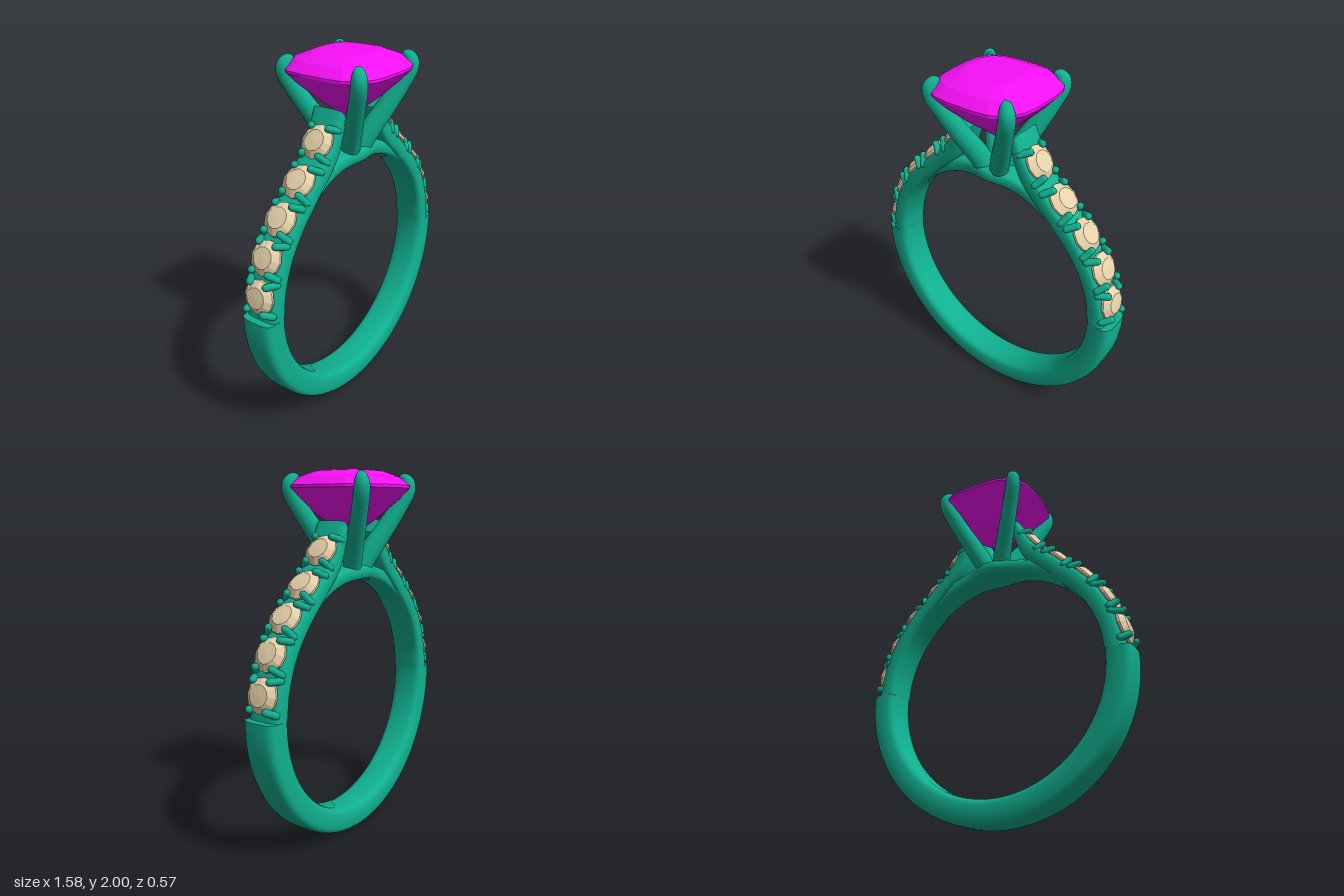
import * as THREE from 'three';
import { toCreasedNormals } from 'three/addons/utils/BufferGeometryUtils.js';

const metal = new THREE.MeshStandardMaterial({ color: 0x10b090 });
const gem = new THREE.MeshStandardMaterial({ color: 0xf810f8, flatShading: true });
const accent = new THREE.MeshStandardMaterial({ color: 0xe6d2aa, flatShading: true });

const V = (x, y, z = 0) => new THREE.Vector3(x, y, z);
const CY = 0.79; // height of the finger hole centre
const polar = (r, a) => V(r * Math.cos(a), CY + r * Math.sin(a));
const deg = THREE.MathUtils.degToRad;

// Skin a row of equal cross-sections and cap both ends
function loft(rings) {
  const n = rings[0].length, pos = [], idx = [];
  rings.forEach(r => r.forEach(p => pos.push(p.x, p.y, p.z)));
  for (let i = 0; i < rings.length - 1; i++) {
    for (let j = 0; j < n; j++) {
      const a = i * n + j, b = i * n + (j + 1) % n;
      idx.push(a, b, b + n, a, b + n, a + n);
    }
  }
  [0, rings.length - 1].forEach((i, end) => {
    const c = rings[i].reduce((s, p) => s.add(p), V(0, 0)).divideScalar(n);
    const k = pos.length / 3;
    pos.push(c.x, c.y, c.z);
    for (let j = 0; j < n; j++) {
      const a = i * n + j, b = i * n + (j + 1) % n;
      if (end) idx.push(a, b, k); else idx.push(b, a, k);
    }
  });
  const g = new THREE.BufferGeometry();
  g.setAttribute('position', new THREE.Float32BufferAttribute(pos, 3));
  g.setIndex(idx);
  g.computeVertexNormals();
  return g;
}

const bend = (c, e) => Math.sign(c) * Math.abs(c) ** (2 / e);

// Superellipse section between an inner and outer point, with half width w in z
function section(inner, outer, w, e = 4, n = 24) {
  const mid = inner.clone().add(outer).multiplyScalar(0.5);
  const u = outer.clone().sub(inner).multiplyScalar(0.5);
  return Array.from({ length: n }, (_, j) => {
    const a = j / n * Math.PI * 2;
    const p = mid.clone().addScaledVector(u, bend(Math.cos(a), e));
    p.z = -w * bend(Math.sin(a), e);
    return p;
  });
}

function add(parent, name, geometry, material) {
  const m = new THREE.Mesh(geometry, material);
  m.name = name;
  parent.add(m);
  return m;
}
const smooth = g => toCreasedNormals(g, 0.75);

// Arc of the band between two angles
function arc(a0, a1, steps, inner, outer, width) {
  return Array.from({ length: steps + 1 }, (_, i) => {
    const a = deg(a0 + (a1 - a0) * i / steps);
    return section(polar(inner, a), polar(outer, a), width(a));
  });
}

// Paths of the shoulder: finger side and the side the stones sit on
const innerPath = new THREE.CatmullRomCurve3([
  polar(0.64, deg(2)), polar(0.64, deg(14)), polar(0.64, deg(29)), polar(0.64, deg(43)),
  V(0.35, 1.345), V(0.2, 1.5), V(0.13, 1.68)]);
const outerPath = new THREE.CatmullRomCurve3([
  V(0.745, 0.815), V(0.727, 0.94), V(0.662, 1.125), V(0.55, 1.285),
  V(0.405, 1.43), V(0.255, 1.59), V(0.175, 1.745)]);

// One shoulder with five stones; turned half round for the other side
function shoulder(name) {
  const side = new THREE.Group();
  side.name = name;
  const rings = [];
  for (let i = 0; i <= 36; i++) {
    rings.push(section(innerPath.getPoint(i / 36), outerPath.getPoint(i / 36), 0.094));
  }
  add(side, 'shoulderBand', smooth(loft(rings)), metal);

  const stoneShape = new THREE.LatheGeometry(
    [[0, -0.05], [0.09, 0], [0.09, 0.012], [0.055, 0.037], [0, 0.04]].map(p => new THREE.Vector2(...p)), 12);
  const beadShape = new THREE.CapsuleGeometry(0.019, 0.055, 4, 10);
  for (let k = 1; k <= 5; k++) {
    const t = outerPath.getTangent(k / 6);
    const seat = new THREE.Group();
    seat.name = 'stoneSetting';
    seat.position.copy(outerPath.getPoint(k / 6));
    seat.rotation.z = Math.atan2(t.y, t.x) - Math.PI; // local y points outward
    side.add(seat);
    add(seat, 'accentStone', stoneShape, accent);
    // Four small claws leaning over the stone
    for (const sx of [-1, 1]) for (const sz of [-1, 1]) {
      const claw = add(seat, 'smallClaw', beadShape, metal);
      claw.position.set(sx * 0.077, 0.006, sz * 0.066);
      claw.rotation.set(-sz * 0.55, 0, sx * 0.2);
    }
  }
  return side;
}

// One corner claw, drawn in the x-y plane: centre x, y, radial and side half thickness
function clawGeometry() {
  const pts = [
    [0.05, 1.47, 0.055, 0.05], [0.10, 1.56, 0.058, 0.05], [0.19, 1.69, 0.052, 0.046],
    [0.275, 1.82, 0.046, 0.043], [0.313, 1.89, 0.044, 0.042], [0.316, 1.93, 0.042, 0.039],
    [0.297, 1.96, 0.03, 0.029], [0.272, 1.972, 0.008, 0.008]];
  const path = new THREE.CatmullRomCurve3(pts.map(p => V(p[0], p[1])));
  const size = new THREE.CatmullRomCurve3(pts.map(p => V(p[2], p[3])));
  const rings = [];
  for (let i = 0; i <= 28; i++) {
    const c = path.getPoint(i / 28), t = path.getTangent(i / 28), s = size.getPoint(i / 28);
    const out = V(t.y, -t.x).multiplyScalar(s.x);
    rings.push(section(c.clone().sub(out), c.clone().add(out), s.y, 2, 16));
  }
  return smooth(loft(rings));
}

// Cushion outline at height y
function cushion(y, r) {
  return Array.from({ length: 24 }, (_, j) => {
    const a = j / 24 * Math.PI * 2;
    const c = Math.cos(a), s = Math.sin(a);
    const k = r / (Math.abs(c) ** 3.4 + Math.abs(s) ** 3.4) ** (1 / 3.4);
    return V(c * k, y, -s * k);
  });
}

export function createModel() {
  const ring = new THREE.Group();
  ring.name = 'ring';

  // Plain lower shank and the bridge under the setting
  add(ring, 'shank', smooth(loft(arc(-182, 2, 72, 0.64, 0.785, () => 0.095))), metal);
  const bridgeWidth = a => 0.078 + 0.034 * Math.exp(-(((a - Math.PI / 2) / 0.16) ** 2));
  add(ring, 'bridge', smooth(loft(arc(48, 132, 40, 0.64, 0.72, bridgeWidth))), metal);

  // Shoulders with accent stones
  ring.add(shoulder('leftShoulder'));
  const right = shoulder('rightShoulder');
  right.rotation.y = Math.PI;
  ring.add(right);

  // Four claws
  const head = new THREE.Group();
  head.name = 'head';
  ring.add(head);
  const claw = clawGeometry();
  for (let i = 0; i < 4; i++) {
    add(head, 'claw', claw, metal).rotation.y = Math.PI / 4 + i * Math.PI / 2;
  }

  // Centre stone
  const levels = [[1.65, 0.005], [1.76, 0.14], [1.85, 0.235], [1.908, 0.285],
    [1.922, 0.285], [1.965, 0.235], [1.995, 0.16], [2, 0.13]];
  add(head, 'centreStone', loft(levels.map(l => cushion(...l))), gem);
  return ring;
}
